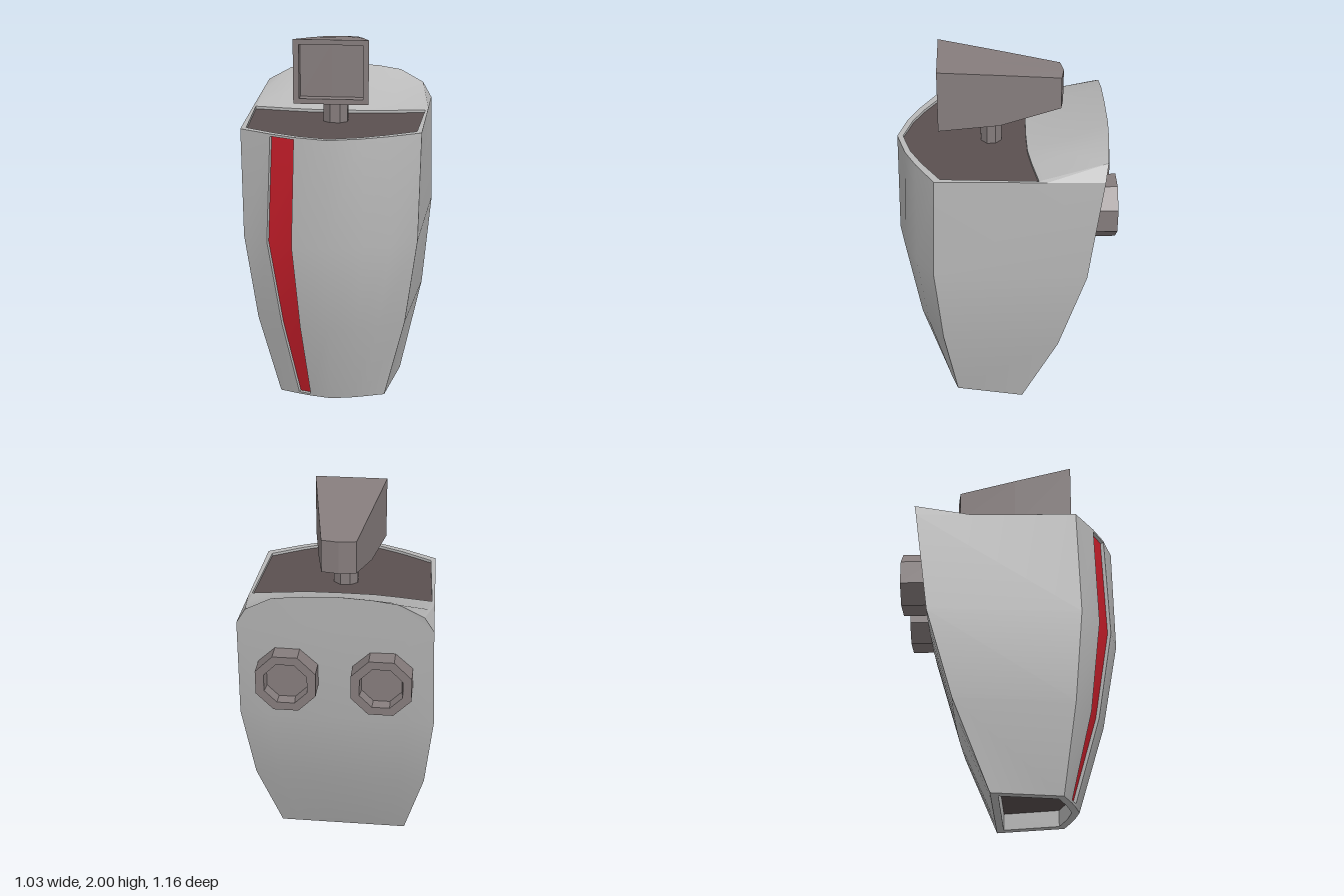
import * as THREE from 'three';

const mat = (name, color) => new THREE.MeshStandardMaterial({ name, color, side: THREE.DoubleSide });

// Surface through rows of points; smooth within the patch unless flat
function patch(rows, flat = false) {
  const n = rows[0].length, index = [];
  for (let r = 0; r < rows.length - 1; r++) {
    for (let c = 0; c < n - 1; c++) {
      const a = r * n + c, b = a + 1, d = a + n, e = d + 1;
      index.push(a, b, e, a, e, d);
    }
  }
  let geo = new THREE.BufferGeometry();
  geo.setAttribute('position', new THREE.Float32BufferAttribute(rows.flat(2), 3));
  geo.setIndex(index);
  if (flat) geo = geo.toNonIndexed();
  geo.computeVertexNormals();
  return geo;
}

// Hull levels: front centre z, front corner x/z, roundness, back corner x/z, back bulge, stripe edges
const levels = [
  { y: 0, zf: 0.36, xc: 0.29, zc: 0.28, p: 1.35, xb: 0.36, zb: -0.09, bulge: 0, s: [-0.18, -0.115] },
  { y: 0.47, zf: 0.5, xc: 0.4, zc: 0.35, p: 1.8, xb: 0.472, zb: -0.28, bulge: 0.012, s: [-0.26, -0.155] },
  { y: 0.95, zf: 0.585, xc: 0.462, zc: 0.39, p: 1.9, xb: 0.517, zb: -0.42, bulge: 0.012, s: [-0.325, -0.187] },
  { y: 1.53, zf: 0.575, xc: 0.472, zc: 0.37, p: 1.45, xb: 0.5, zb: -0.495, bulge: 0.01, s: [-0.302, -0.172] },
];

// Front cross-section: seven points from right corner to left corner
function frontRow(l) {
  const xs = [-l.xc, l.s[0], l.s[1], 0, -l.s[1], -l.s[0], l.xc];
  return xs.map((x) => [x, l.y, l.zf - (l.zf - l.zc) * Math.pow(Math.abs(x / l.xc), l.p)]);
}

const lerpRow = (a, b, t) => a.map((p, i) => p.map((v, k) => v + (b[i][k] - v) * t));
const mirrorRow = (half) => [...half, ...half.slice(0, -1).reverse().map(([x, y, z]) => [-x, y, z])];

export function createModel() {
  const model = new THREE.Group();
  const shell = mat('light grey shell', 0xb9b9b9);
  const metal = mat('warm grey metal', 0x857c7c);
  const dark = mat('dark brown grey', 0x5a5050);
  const red = mat('red stripe', 0xc81e2a);

  function add(parent, name, geo, material) {
    const mesh = new THREE.Mesh(geo, material);
    mesh.name = name;
    parent.add(mesh);
    return mesh;
  }

  const hull = new THREE.Group();
  hull.name = 'hull';
  model.add(hull);

  // Front wall, left open where the stripe is let in
  const base = levels.map(frontRow);
  const rows = [base[0], lerpRow(base[0], base[1], 0.03), base[1], base[2], lerpRow(base[2], base[3], 0.98), base[3]];
  add(hull, 'frontWall', patch(rows.map((r) => r.slice(2))), shell);
  add(hull, 'frontWallEdge', patch(rows.map((r) => r.slice(0, 2))), shell);
  add(hull, 'stripeLowerLip', patch(rows.slice(0, 2).map((r) => r.slice(1, 3))), shell);
  add(hull, 'stripeUpperLip', patch(rows.slice(4).map((r) => r.slice(1, 3))), shell);

  // Recessed red stripe with its groove walls
  const back = ([x, y, z]) => [x + 0.007, y, z - 0.018];
  const stripe = rows.slice(1, 5).map((r) => r.slice(1, 3));
  add(hull, 'stripe', patch(stripe.map((r) => r.map(back))), red);
  for (const c of [0, 1]) {
    add(hull, 'stripeGrooveSide', patch(stripe.map((r) => [r[c], back(r[c])])), shell);
  }
  for (const r of [stripe[0], stripe[3]]) {
    add(hull, 'stripeGrooveEnd', patch([r, r.map(back)]), shell);
  }

  // Side walls
  for (const s of [-1, 1]) {
    add(hull, s > 0 ? 'leftWall' : 'rightWall',
      patch(levels.map((l) => [[s * l.xc, l.y, l.zc], [s * l.xb, l.y, l.zb]])), shell);
  }

  // Back wall rising into an arched top edge
  const crest = mirrorRow([[-0.45, 1.615, -0.51], [-0.32, 1.685, -0.52], [-0.19, 1.705, -0.525], [0, 1.715, -0.525]]);
  const backRows = levels.map((l) => [-1, -0.7, -0.4, 0, 0.4, 0.7, 1].map(
    (f) => [f * l.xb, l.y, l.zb - l.bulge * (1 - f * f)]));
  add(hull, 'backWall', patch([...backRows, crest]), shell);

  // Ramp from the deck up to the arched edge, with small side gussets
  const deckBack = mirrorRow([[-0.475, 1.53, -0.16], [-0.3, 1.53, -0.13], [-0.17, 1.53, -0.113], [0, 1.53, -0.11]]);
  const middle = lerpRow(deckBack, crest, 0.5).map(([x, y, z], i) => [x, y - (i % 6 ? 0.015 : 0), z]);
  add(hull, 'rearRamp', patch([deckBack, middle, crest]), shell);
  for (const s of [-1, 1]) {
    const tip = [s * 0.491, 1.53, -0.2], peak = [s * 0.45, 1.615, -0.51];
    add(hull, 'rampEdge', patch([[[s * 0.475, 1.53, -0.16], tip], [peak, peak]]), shell);
    add(hull, 'rampGusset', patch([[tip, [s * 0.5, 1.53, -0.495]], [peak, peak]]), shell);
  }

  // Top rim and sunken deck
  const top = base[3];
  const inner = top.map(([x, y, z]) => [x * 0.946, y, z - 0.03]);
  const outerRim = [[-0.491, 1.53, -0.2], ...top, [0.491, 1.53, -0.2]];
  const innerRim = [deckBack[0], ...inner, deckBack[6]];
  const sink = ([x, y, z]) => [x, y - 0.015, z];
  add(hull, 'topRim', patch([outerRim, innerRim]), shell);
  add(hull, 'rimInside', patch([innerRim, innerRim.map(sink)], true), shell);
  add(hull, 'rampFoot', patch([deckBack, deckBack.map(sink)]), shell);
  add(hull, 'deck', patch([inner.map(sink), deckBack.map(sink)]), dark);

  // Bottom rim and opening
  const ring = [[-0.36, 0, -0.09], ...base[0], [0.36, 0, -0.09], [-0.36, 0, -0.09]];
  const hole = ring.map(([x, y, z]) => [x * 0.84, y, 0.13 + (z - 0.13) * 0.82]);
  const holeTop = hole.map(([x, , z]) => [x, 0.09, z]);
  add(hull, 'bottomRim', patch([ring, hole], true), shell);
  add(hull, 'openingWall', patch([hole, holeTop], true), shell);
  add(hull, 'openingCap', patch([holeTop, holeTop.map(() => [0, 0.09, 0.13])], true), dark);

  // Octagonal rear nozzles with recessed ends
  const profile = [[0.168, 0], [0.168, 0.18], [0.12, 0.18], [0.112, 0.125], [0, 0.125]]
    .map(([r, h]) => new THREE.Vector2(r, h));
  for (const s of [-1, 1]) {
    const geo = new THREE.LatheGeometry(profile, 8, Math.PI / 8).toNonIndexed();
    geo.computeVertexNormals();
    geo.rotateX(-Math.PI / 2);
    add(model, s > 0 ? 'leftNozzle' : 'rightNozzle', geo, metal).position.set(s * 0.245, 1.232, -0.4);
  }

  // Head: tapering box with a recessed front and a slightly pointed back
  const head = new THREE.Group();
  head.name = 'head';
  model.add(head);
  const loop = (w, y0, y1, z, zm = z) => [
    [-w, y0, z], [0, y0, zm], [w, y0, z], [w, y1, z], [0, y1, zm], [-w, y1, z], [-w, y0, z]];
  const recess = loop(0.165, 1.692, 1.973, 0.29);
  const tail = loop(0.09, 1.735, 1.91, -0.29, -0.305);
  add(head, 'headCasing', patch([
    recess, loop(0.165, 1.692, 1.973, 0.35), loop(0.195, 1.665, 2, 0.35),
    loop(0.143, 1.665, 1.956, 0.03), tail], true), metal);
  for (const [name, l] of [['headScreen', recess], ['headBack', tail]]) {
    add(head, name, patch([l.slice(0, 3), l.slice(3, 6).reverse()], true), metal);
  }

  // Neck post
  const neck = new THREE.CylinderGeometry(0.07, 0.07, 0.2, 8, 1, false, Math.PI / 8).toNonIndexed();
  neck.computeVertexNormals();
  neck.scale(1, 1, 0.85);
  add(model, 'neck', neck, metal).position.set(0, 1.6, 0.075);

  return model;
}
